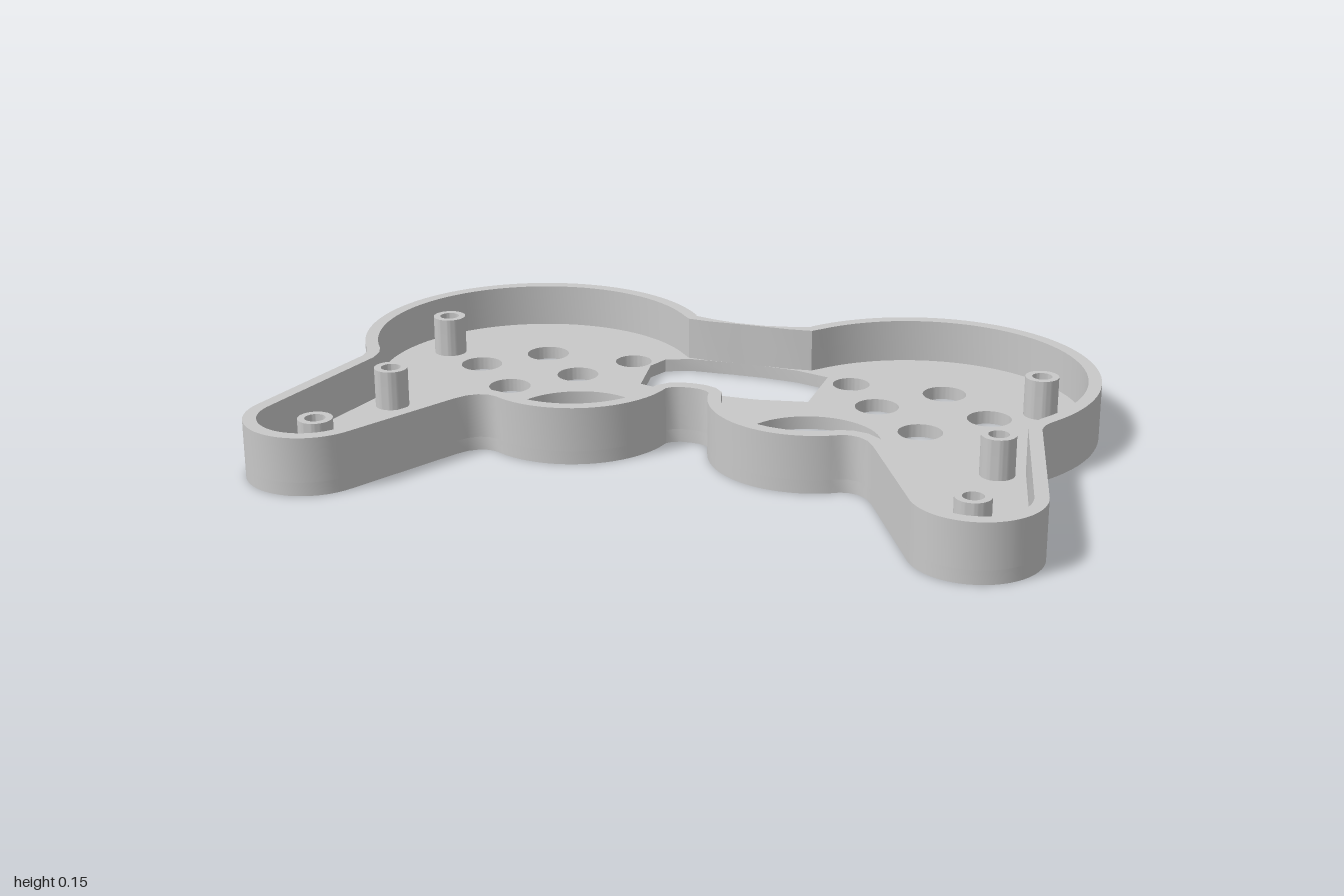
import * as THREE from 'three';
import { toCreasedNormals } from 'three/addons/utils/BufferGeometryUtils.js';

const HEIGHT = 0.15, FLOOR = 0.035, POST_TOP = 0.14, WALL = 0.034;

// Plan coordinates are [x, z]; shapes are drawn with y = -z and laid flat.
const V = (x, z) => new THREE.Vector2(x, -z);

function arc(cx, cz, r, from, to, n) {
  const pts = [];
  for (let i = 0; i <= n; i++) {
    const a = THREE.MathUtils.degToRad(from + (to - from) * i / n);
    pts.push([cx + r * Math.cos(a), cz + r * Math.sin(a)]);
  }
  return pts;
}

// Mirrored outer outline, counter-clockwise: rear lobe, grip, thumb lobe, front notch
function outline() {
  const half = [
    [0, -0.485], [0.04, -0.485], [0.11, -0.497], [0.165, -0.512],
    ...arc(0.535, -0.235, 0.465, -142, 34, 48),
    [0.909, 0.05], [0.905, 0.08],
    ...arc(0.835, 0.535, 0.16, -10, 150, 24),
    [0.54, 0.315], [0.52, 0.286], [0.495, 0.268], [0.47, 0.263], [0.448, 0.268],
    ...arc(0.315, 0.045, 0.26, 64, 172, 24),
    [0.045, 0.068], [0.025, 0.06], [0, 0.058],
  ];
  const other = half.slice(1, -1).reverse().map(([x, z]) => [-x, z]);
  return [...half, ...other].reverse();
}

// Inner face of the wall, thinning at the rear bridge behind the window
function inset(pts) {
  const n = pts.length;
  return pts.map(([x, z], i) => {
    const a = pts[(i + n - 1) % n], b = pts[(i + 1) % n];
    const dx = b[0] - a[0], dz = b[1] - a[1], len = Math.hypot(dx, dz);
    let t = WALL;
    if (z < -0.4 && Math.abs(x) < 0.17) {
      t = THREE.MathUtils.mapLinear(Math.max(Math.abs(x), 0.04), 0.04, 0.17, 0.008, WALL);
    }
    return [x + dz / len * t, z - dx / len * t];
  });
}

const toPath = (pts, Type = THREE.Path) => new Type(pts.map(([x, z]) => V(x, z)));

function circle(x, z, r) {
  return new THREE.Path().absarc(x, -z, r, 0, Math.PI * 2, true);
}

function slab(name, shape, y, height, material) {
  let g = new THREE.ExtrudeGeometry(shape, { depth: height, bevelEnabled: false, curveSegments: 32 });
  g.rotateX(-Math.PI / 2);
  g = toCreasedNormals(g, 0.5);
  const mesh = new THREE.Mesh(g, material);
  mesh.position.y = y;
  mesh.name = name;
  return mesh;
}

export function createModel() {
  const group = new THREE.Group();
  group.name = 'controllerShell';
  const grey = new THREE.MeshStandardMaterial({ color: 0xc8c8c8 });
  grey.name = 'grey plastic';

  const outer = outline();
  const posts = [];
  for (const s of [1, -1]) posts.push([s * 0.837, -0.33], [s * 0.807, 0.12], [s * 0.823, 0.523]);

  // Floor plate with window, stick, button and screw holes
  const floor = toPath(outer, THREE.Shape);
  const holes = [
    [0.315, 0.045, 0.182], [-0.315, 0.045, 0.182],
    [0.31, -0.405, 0.05], [-0.315, -0.405, 0.05], [0, -0.083, 0.047],
    [0.567, -0.405, 0.058], [0.417, -0.255, 0.058], [0.717, -0.255, 0.058], [0.567, -0.105, 0.058],
    [-0.567, -0.395, 0.058], [-0.425, -0.255, 0.056], [-0.71, -0.255, 0.056], [-0.567, -0.11, 0.056],
    ...posts.map(([x, z]) => [x, z, 0.026]),
  ];
  floor.holes = holes.map(h => circle(...h));
  floor.holes.push(toPath([
    [-0.04, -0.477], [-0.17, -0.472], [-0.235, -0.445], [-0.258, -0.385], [-0.235, -0.235],
    [-0.155, -0.21], [0.1, -0.21], [0.235, -0.235], [0.235, -0.44], [0.14, -0.468], [0.04, -0.477],
  ]));
  group.add(slab('floorPlate', floor, 0, FLOOR, grey));

  // Perimeter wall
  const wall = toPath(outer, THREE.Shape);
  wall.holes.push(toPath(inset(outer)));
  group.add(slab('perimeterWall', wall, FLOOR, HEIGHT - FLOOR, grey));

  // Hollow screw posts
  for (const [x, z] of posts) {
    const ring = new THREE.Shape().absarc(0, 0, 0.044, 0, Math.PI * 2, false);
    ring.holes.push(circle(0, 0, 0.026));
    const post = slab('screwPost', ring, FLOOR, POST_TOP - FLOOR, grey);
    post.position.x = x;
    post.position.z = z;
    group.add(post);
  }
  return group;
}
